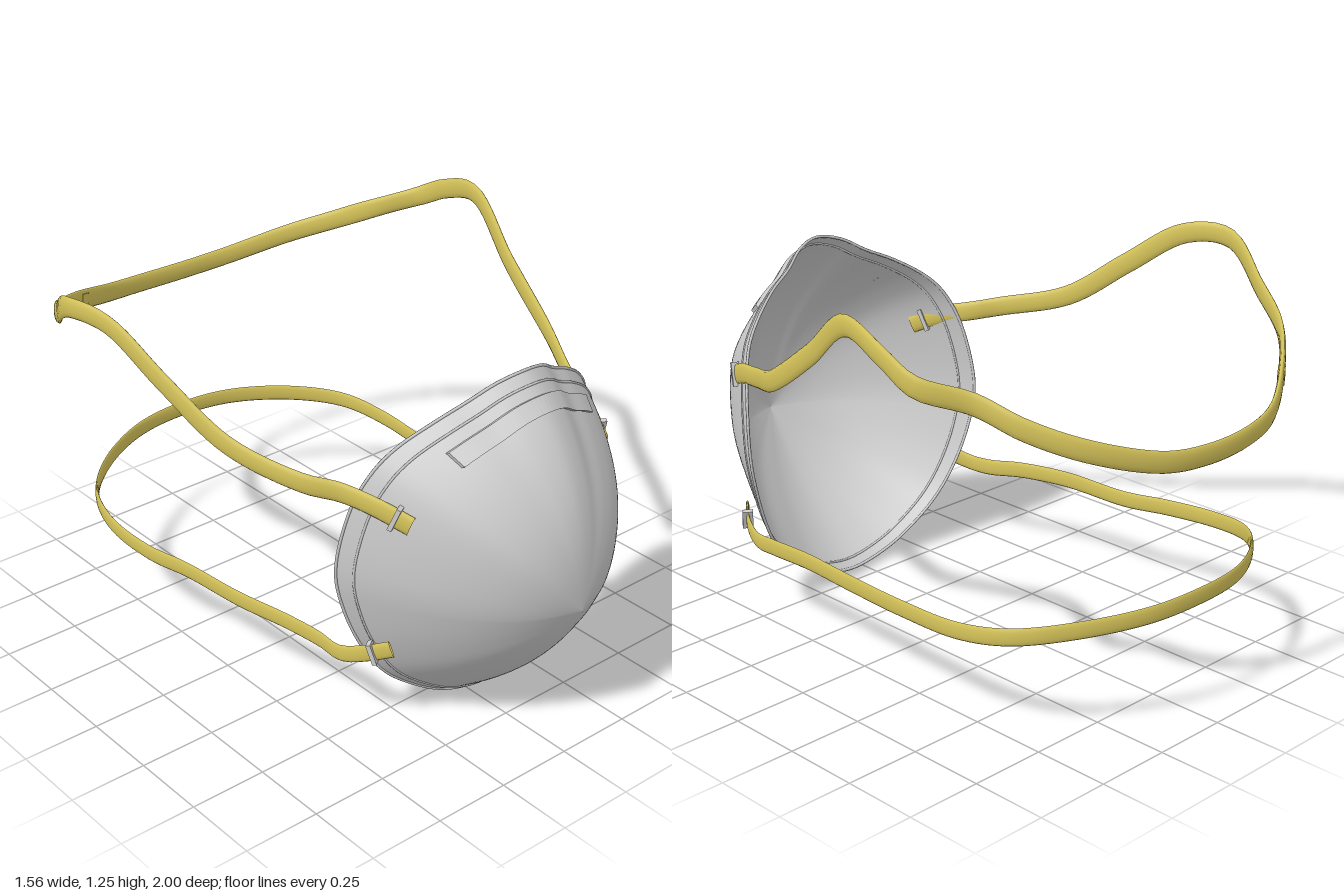
import * as THREE from 'three';
import { ParametricGeometry } from 'three/addons/geometries/ParametricGeometry.js';

const V = (x, y, z) => new THREE.Vector3(x, y, z);
const CX = 0.04;
const APEX = V(CX, 0.48, 1);

// Half of the mask rim from top to bottom: [half width, y, z]
const HALF_RIM = [
  [0, 1.15, 0.72], [0.09, 1.13, 0.7], [0.17, 1.083, 0.665], [0.26, 1.04, 0.635],
  [0.36, 0.975, 0.59], [0.43, 0.896, 0.555], [0.475, 0.77, 0.515], [0.498, 0.583, 0.483],
  [0.475, 0.44, 0.485], [0.42, 0.29, 0.505], [0.34, 0.167, 0.53], [0.215, 0.07, 0.55],
  [0.11, 0.02, 0.565], [0, 0, 0.57],
];
const rim = new THREE.CatmullRomCurve3([
  ...HALF_RIM.map(([x, y, z]) => V(CX + x, y, z)),
  ...HALF_RIM.slice(1, -1).reverse().map(([x, y, z]) => V(CX - x, y, z)),
], true, 'catmullrom');

// Point on the mask: u runs round the rim from the top, t from nose tip to rim
function maskPoint(u, t, target) {
  const r = rim.getPoint(((u % 1) + 1) % 1);
  const dx = r.x - APEX.x, dy = r.y - APEX.y;
  const s = dy / Math.hypot(dx, dy);
  const a = s > 0 ? 0.25 * (1 - s) : 0.25 - 0.35 * s;
  const drop = a * t + (1 - a) * Math.pow(t, 2.6);
  return target.set(APEX.x + dx * t, APEX.y + dy * t, APEX.z + (r.z - APEX.z) * drop);
}

// Closed thin tube following the mask at a constant t
function ring(t, radius) {
  const pts = [];
  for (let i = 0; i < 72; i++) pts.push(maskPoint(i / 72, t, V()));
  return new THREE.TubeGeometry(new THREE.CatmullRomCurve3(pts, true), 144, radius, 6, true);
}

// Upright frame on a strap path: along, side, up
function frameAt(curve, u) {
  const along = curve.getTangentAt(u);
  const side = V(0, 1, 0).cross(along).normalize();
  return { p: curve.getPointAt(u), along, side, up: along.clone().cross(side) };
}

// Flat band with a rounded section
function ribbon(curve, halfHeight, halfThick) {
  return new ParametricGeometry((u, v, target) => {
    const f = frameAt(curve, Math.min(1, Math.max(0, u)));
    const q = v * Math.PI * 2;
    target.copy(f.p).addScaledVector(f.up, halfHeight * Math.cos(q))
      .addScaledVector(f.side, halfThick * Math.sin(q));
  }, 140, 12);
}

export function createModel() {
  const model = new THREE.Group();
  const grey = new THREE.MeshStandardMaterial({ color: 0xcccccc, side: THREE.DoubleSide });
  const yellow = new THREE.MeshStandardMaterial({ color: 0xd6c45a, side: THREE.DoubleSide });
  const add = (name, geometry, material, parent = model) => {
    const mesh = new THREE.Mesh(geometry, material);
    mesh.name = name;
    parent.add(mesh);
    return mesh;
  };

  // Cup, edge and pressed seam
  const mask = new THREE.Group();
  mask.name = 'mask';
  model.add(mask);
  add('maskShell', new ParametricGeometry(
    (u, v, target) => maskPoint(u, 0.001 + 0.999 * v, target), 120, 36), grey, mask);
  add('rimEdge', ring(0.997, 0.005), grey, mask);
  add('rimSeam', ring(0.95, 0.004), grey, mask);

  // Nose strip: a raised band parallel to the top rim, closed at both ends
  const section = [[0.85, 0], [0.85, 1], [0.91, 1], [0.91, 0]];
  const N = 40, pos = [], index = [];
  for (let i = 0; i <= N + 2; i++) {
    const k = Math.min(N, Math.max(0, i - 1));
    const u = (k / N - 0.5) * 2 * (3.4 / 26);
    const capped = i === 0 || i === N + 2;
    for (const [t, lift] of section) {
      const p = maskPoint(u, t, V());
      const h = capped ? 0 : 0.014 * lift;
      pos.push(p.x, p.y + h * 0.5, p.z + h * 0.87);
    }
    if (i > 0) for (let j = 0; j < 3; j++) {
      const a = (i - 1) * 4 + j, b = a + 4;
      index.push(a, b, b + 1, a, b + 1, a + 1);
    }
  }
  let strip = new THREE.BufferGeometry();
  strip.setAttribute('position', new THREE.Float32BufferAttribute(pos, 3));
  strip.setIndex(index);
  strip = strip.toNonIndexed();
  strip.computeVertexNormals();
  add('noseStrip', strip, grey, mask);

  // Straps run from one side of the mask round the back to the other
  const upperPath = [
    [-0.35, 0.77, 0.69], [-0.4, 0.81, 0.6], [-0.45, 0.835, 0.5], [-0.52, 0.855, 0.42],
    [-0.62, 0.92, 0.2], [-0.69, 1.06, 0], [-0.74, 1.19, -0.2], [-0.77, 1.2, -0.36],
    [-0.69, 1.09, -0.55], [-0.6, 1.02, -0.7], [-0.45, 0.96, -0.83], [-0.25, 0.89, -0.95],
    [-0.1, 0.87, -0.985], [0.08, 0.865, -0.99], [0.25, 0.88, -0.965], [0.45, 0.94, -0.87],
    [0.57, 1, -0.75], [0.64, 1.06, -0.63], [0.755, 1.11, -0.52], [0.765, 1.17, -0.4],
    [0.735, 1.21, -0.22], [0.68, 1.06, 0], [0.63, 0.91, 0.24], [0.54, 0.85, 0.43],
    [0.49, 0.82, 0.56], [0.43, 0.77, 0.69],
  ];
  const lowerPath = [
    [-0.365, 0.33, 0.63], [-0.41, 0.305, 0.57], [-0.445, 0.28, 0.49], [-0.45, 0.285, 0.4],
    [-0.48, 0.3, 0.28], [-0.52, 0.305, 0.1], [-0.54, 0.3, -0.15], [-0.575, 0.305, -0.3],
    [-0.58, 0.32, -0.5], [-0.53, 0.34, -0.66], [-0.4, 0.36, -0.79], [-0.2, 0.375, -0.89],
    [0, 0.38, -0.915], [0.2, 0.375, -0.89], [0.4, 0.36, -0.79], [0.53, 0.34, -0.66],
    [0.575, 0.32, -0.5], [0.57, 0.305, -0.25], [0.555, 0.3, 0], [0.55, 0.305, 0.2],
    [0.53, 0.285, 0.4], [0.52, 0.28, 0.49], [0.49, 0.305, 0.57], [0.445, 0.33, 0.63],
  ];

  // Small block turned to lie across a strap
  const block = (name, curve, u, size, material) => {
    const f = frameAt(curve, u);
    const mesh = add(name, new THREE.BoxGeometry(...size), material);
    mesh.applyMatrix4(new THREE.Matrix4().makeBasis(f.along, f.up, f.side).setPosition(f.p));
  };

  const straps = [
    ['upper', upperPath, 0.033, 0.01, 0.05],
    ['lower', lowerPath, 0.028, 0.006, 0.06],
  ];
  for (const [name, path, halfHeight, halfThick, clipDist] of straps) {
    const curve = new THREE.CatmullRomCurve3(path.map((p) => V(...p)));
    curve.arcLengthDivisions = 600;
    add(name + 'Strap', ribbon(curve, halfHeight, halfThick), yellow);
    const d = clipDist / curve.getLength();
    for (const [side, u] of [['Right', d], ['Left', 1 - d]])
      block(name + side + 'Clip', curve, u, [0.014, halfHeight * 2 + 0.012, 0.034], grey);
    // Overlap where the ends of the upper band are joined
    if (name === 'upper') block('strapJoint', curve, 0.405, [0.05, 0.04, 0.022], yellow);
  }
  return model;
}
